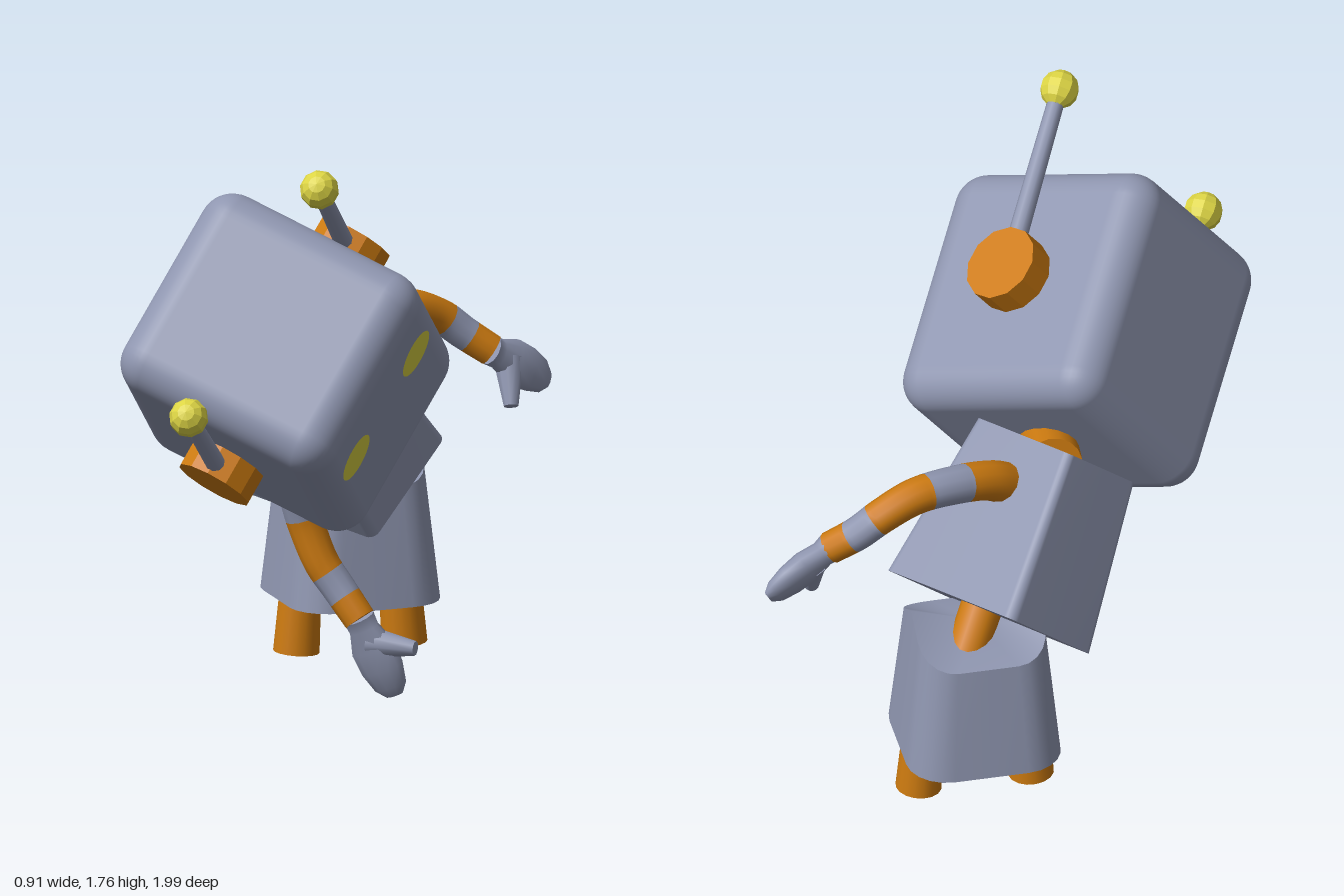
import * as THREE from 'three';
import { RoundedBoxGeometry } from 'three/addons/geometries/RoundedBoxGeometry.js';

const V = (x, y, z) => new THREE.Vector3(x, y, z);

function paint(name, hex) {
  const m = new THREE.MeshStandardMaterial({ color: hex });
  m.name = name;
  return m;
}

// Skin through equal-length rings of points, closed with a fan at both ends.
function loft(rings) {
  const n = rings[0].length, pos = [], idx = [];
  const add = p => pos.push(p.x, p.y, p.z) / 3 - 1;
  rings.forEach(r => r.forEach(add));
  for (let i = 0; i < rings.length - 1; i++) for (let j = 0; j < n; j++) {
    const a = i * n + j, b = i * n + (j + 1) % n;
    idx.push(a, b, b + n, a, b + n, a + n);
  }
  [rings[0], rings[rings.length - 1]].forEach((ring, end) => {
    const mid = ring.reduce((s, p) => s.add(p), V(0, 0, 0)).divideScalar(n);
    if (ring.peak !== undefined) mid.y = ring.peak;
    const c = add(mid), first = ring.map(add)[0];
    for (let j = 0; j < n; j++) {
      const a = first + j, b = first + (j + 1) % n;
      if (end) idx.push(c, a, b); else idx.push(c, b, a);
    }
  });
  const g = new THREE.BufferGeometry();
  g.setAttribute('position', new THREE.Float32BufferAttribute(pos, 3));
  g.setIndex(idx);
  g.computeVertexNormals();
  return g;
}

// Rounded rectangle around y; yAt gives the height at each depth.
function roundRect(w, d, r, yAt) {
  const pts = [];
  for (let k = 0; k < 4; k++) {
    const sz = k === 0 || k === 3 ? 1 : -1, sx = k < 2 ? 1 : -1;
    for (let i = 0; i <= 5; i++) {
      const a = (k + i / 5) * Math.PI / 2;
      pts.push([sx * (w - r) + Math.sin(a) * r, sz * (d - r) + Math.cos(a) * r]);
    }
    pts.push([[w, 0], [0, -d], [-w, 0], [0, d]][k]);
  }
  return pts.map(([x, z]) => V(x, yAt(z), z));
}

function ellipse(c, u, v, a, b, n = 12) {
  return Array.from({ length: n }, (_, i) => {
    const t = i / n * Math.PI * 2;
    return c.clone().addScaledVector(u, Math.cos(t) * a).addScaledVector(v, Math.sin(t) * b);
  });
}

function flat(g) {
  const f = g.toNonIndexed();
  f.computeVertexNormals();
  return f;
}

export function createModel() {
  const grey = paint('blue grey shell', 0x8f96b0);
  const orange = paint('orange joints', 0xcc7a10);
  const yellow = paint('yellow lights', 0xdcd444);
  const model = new THREE.Group();
  model.name = 'robot';

  const mesh = (parent, name, geo, mat) => {
    const m = new THREE.Mesh(geo, mat);
    m.name = name;
    parent.add(m);
    return m;
  };
  // Group whose local x is left, y is up, z is forward.
  const frame = (name, pos, up, fwd) => {
    const g = new THREE.Group(), u = up.clone().normalize();
    const l = u.clone().cross(fwd).normalize(), f = l.clone().cross(u);
    g.name = name;
    g.quaternion.setFromRotationMatrix(new THREE.Matrix4().makeBasis(l, u, f));
    g.position.copy(pos);
    model.add(g);
    return g;
  };
  const rod = (parent, name, a, b, r0, r1, mat, n = 16) => {
    const m = mesh(parent, name, new THREE.CylinderGeometry(r1, r0, a.distanceTo(b), n), mat);
    m.position.copy(a).lerp(b, 0.5);
    m.quaternion.setFromUnitVectors(V(0, 1, 0), b.clone().sub(a).normalize());
    return m;
  };

  // Head with eyes, ears and antennae
  const head = frame('head', V(0, 1.1, 0.23), V(0.1055, 0.511, 0.852), V(0.929, -0.355, 0.098));
  mesh(head, 'headShell', new RoundedBoxGeometry(0.665, 0.765, 0.72, 5, 0.1), grey);
  for (const s of [1, -1]) {
    const side = s > 0 ? 'left' : 'right';
    mesh(head, side + 'Eye', new THREE.CircleGeometry(0.075, 28), yellow).position.set(s * 0.178, 0.109, 0.364);
    const ear = mesh(head, side + 'Ear', flat(new THREE.CylinderGeometry(0.117, 0.117, 0.12, 12)), orange);
    ear.rotation.z = Math.PI / 2;
    ear.position.set(s * 0.362, 0.008, 0);
    rod(head, side + 'Antenna', V(s * 0.38, 0.05, 0), V(s * 0.39, 0.59, 0), 0.03, 0.025, grey, 10);
    mesh(head, side + 'AntennaBall', flat(new THREE.SphereGeometry(0.058, 10, 7)), yellow)
      .position.set(s * 0.39, 0.593, 0);
  }

  // Neck and spine
  rod(model, 'neck', V(-0.14, 0.96, -0.23), V(-0.03, 0.93, -0.05), 0.085, 0.085, orange);
  rod(model, 'spine', V(-0.06, 0.5, -0.7), V(-0.075, 0.7, -0.54), 0.062, 0.062, orange);

  // Tapered chest
  const chest = frame('chest', V(-0.104, 0.795, -0.373), V(-0.115, 0.741, 0.661), V(0.929, -0.134, 0.345));
  mesh(chest, 'chestShell', loft([
    roundRect(0.198, 0.264, 0.03, () => -0.25),
    roundRect(0.165, 0.195, 0.025, () => 0.262),
  ]), grey);

  // Arched chest light in a raised frame
  const badge = new THREE.Group();
  badge.name = 'chestLight';
  badge.position.set(0, 0.024, 0.224);
  badge.rotation.x = -0.135;
  chest.add(badge);
  const arch = (w, h, rise, depth) => {
    const s = new THREE.Shape();
    s.moveTo(-w, -h);
    s.quadraticCurveTo(0, -h + rise * 2, w, -h);
    s.lineTo(w, h);
    s.quadraticCurveTo(0, h + rise * 2, -w, h);
    s.closePath();
    return new THREE.ExtrudeGeometry(s, { depth, bevelEnabled: false, curveSegments: 8 });
  };
  mesh(badge, 'lightFrame', arch(0.122, 0.07, 0.022, 0.03), grey).position.z = -0.005;
  mesh(badge, 'lightPanel', arch(0.095, 0.044, 0.022, 0.008), yellow).position.z = 0.025;

  // Skirt with raised sides and a hollowed ridge between them
  const hips = frame('hips', V(-0.055, 0, -0.59), V(0, 1, 0), V(0.61, 0, 0.79));
  const rim = roundRect(0.19, 0.19, 0.1, z => 0.67 - 0.58 * Math.abs(z));
  rim.peak = 0.61;
  mesh(hips, 'skirt', loft([roundRect(0.23, 0.233, 0.12, () => 0.205), rim]), grey);

  // Legs
  for (const s of [1, -1]) {
    rod(hips, s > 0 ? 'leftLeg' : 'rightLeg', V(s * 0.168, 0.042, 0), V(s * 0.15, 0.3, 0), 0.068, 0.058, orange);
  }

  // Banded arm with a mitten hand
  const bands = [0, 13, 23, 37, 44, 50];
  const arm = (side, points, tip, thumb) => {
    const g = new THREE.Group();
    g.name = side + 'Arm';
    model.add(g);
    const curve = new THREE.CatmullRomCurve3(points), N = 50;
    const fr = curve.computeFrenetFrames(N, false);
    const rings = fr.tangents.map((_, i) => {
      const r = 0.062 - 0.014 * i / N;
      return ellipse(curve.getPointAt(i / N), fr.normals[i], fr.binormals[i], r, r);
    });
    for (let k = 0; k < 5; k++) {
      mesh(g, side + 'ArmBand' + (k + 1), loft(rings.slice(bands[k], bands[k + 1] + 1)), k % 2 ? grey : orange);
    }
    const wrist = points[points.length - 1], t = tip.clone().sub(wrist).normalize();
    const u = thumb.clone().sub(wrist);
    u.addScaledVector(t, -u.dot(t)).normalize();
    const v = t.clone().cross(u);
    const palm = [[-0.02, 0.046, 0.046], [0.12, 0.046, 0.038], [0.38, 0.072, 0.044],
      [0.65, 0.07, 0.04], [0.88, 0.054, 0.03], [1, 0.028, 0.014]];
    mesh(g, side + 'Hand', loft(palm.map(([f, a, b]) => ellipse(wrist.clone().lerp(tip, f), u, v, a, b))), grey);
    rod(g, side + 'Thumb', wrist.clone().lerp(tip, 0.3), thumb, 0.046, 0.022, grey, 10);
  };
  arm('left', [V(-0.07, 0.98, -0.4), V(-0.04, 1.02, -0.46), V(0.02, 1.05, -0.56), V(0.1, 1.055, -0.67),
    V(0.17, 1.015, -0.75), V(0.23, 0.96, -0.79), V(0.305, 0.905, -0.82)],
  V(0.43, 0.79, -0.975), V(0.37, 0.745, -0.805));
  arm('right', [V(-0.17, 0.8, -0.15), V(-0.12, 0.72, -0.11), V(-0.075, 0.63, -0.115), V(-0.05, 0.53, -0.13),
    V(0, 0.41, -0.13), V(0.05, 0.34, -0.13), V(0.12, 0.25, -0.12)],
  V(0.215, 0.02, -0.16), V(0.29, 0.175, -0.12));

  return model;
}
